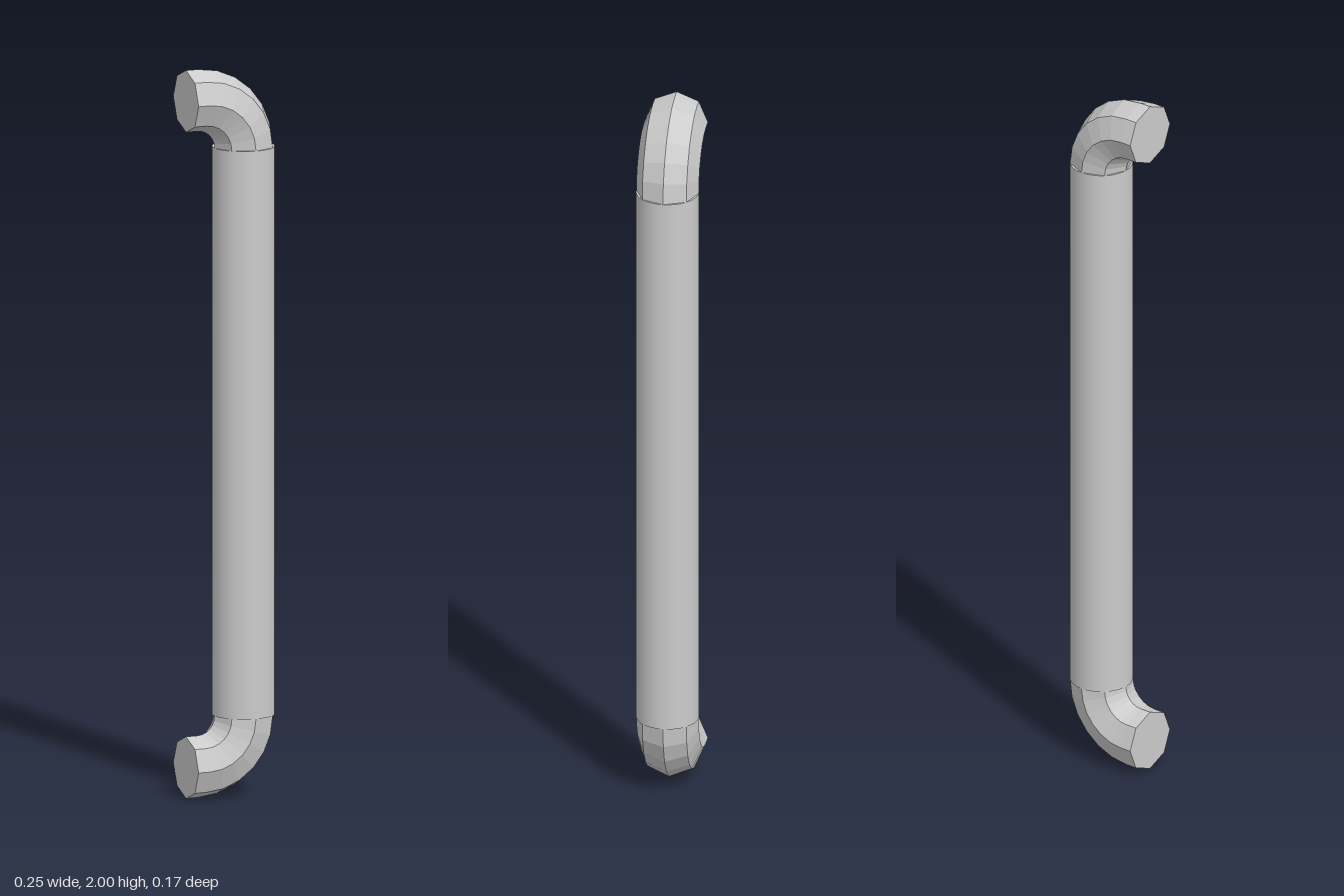
import * as THREE from 'three';

const R = 0.085;          // tube radius
const BEND = 0.135;       // bend radius on the centre line
const BACK = -0.127;      // mounting face
const BAR_X = 0.042;
const BEND_X = BAR_X - BEND;

export function createModel() {
  const group = new THREE.Group();
  const smooth = new THREE.MeshStandardMaterial({ color: 0xcccccc });
  const faceted = new THREE.MeshStandardMaterial({ color: 0xcccccc, flatShading: true });

  const add = (name, geometry, material, x, y) => {
    const mesh = new THREE.Mesh(geometry, material);
    mesh.name = name;
    mesh.position.set(x, y, 0);
    group.add(mesh);
  };

  // Round upright grip
  const low = R + BEND, high = 2 - low;
  add('gripBar', new THREE.CylinderGeometry(R, R, high - low, 32), smooth, BAR_X, 1);

  // Eight-sided quarter bends and the short stubs behind them
  for (const [end, y, side] of [['upper', high, 1], ['lower', low, -1]]) {
    const bend = new THREE.TorusGeometry(BEND, R, 8, 6, Math.PI / 2);
    if (side < 0) bend.rotateZ(-Math.PI / 2);
    add(end + 'Bend', bend, faceted, BEND_X, y);

    const stub = new THREE.CylinderGeometry(R, R, BEND_X - BACK, 8).rotateZ(Math.PI / 2);
    add(end + 'Stub', stub, faceted, (BEND_X + BACK) / 2, y + side * BEND);
  }
  return group;
}
